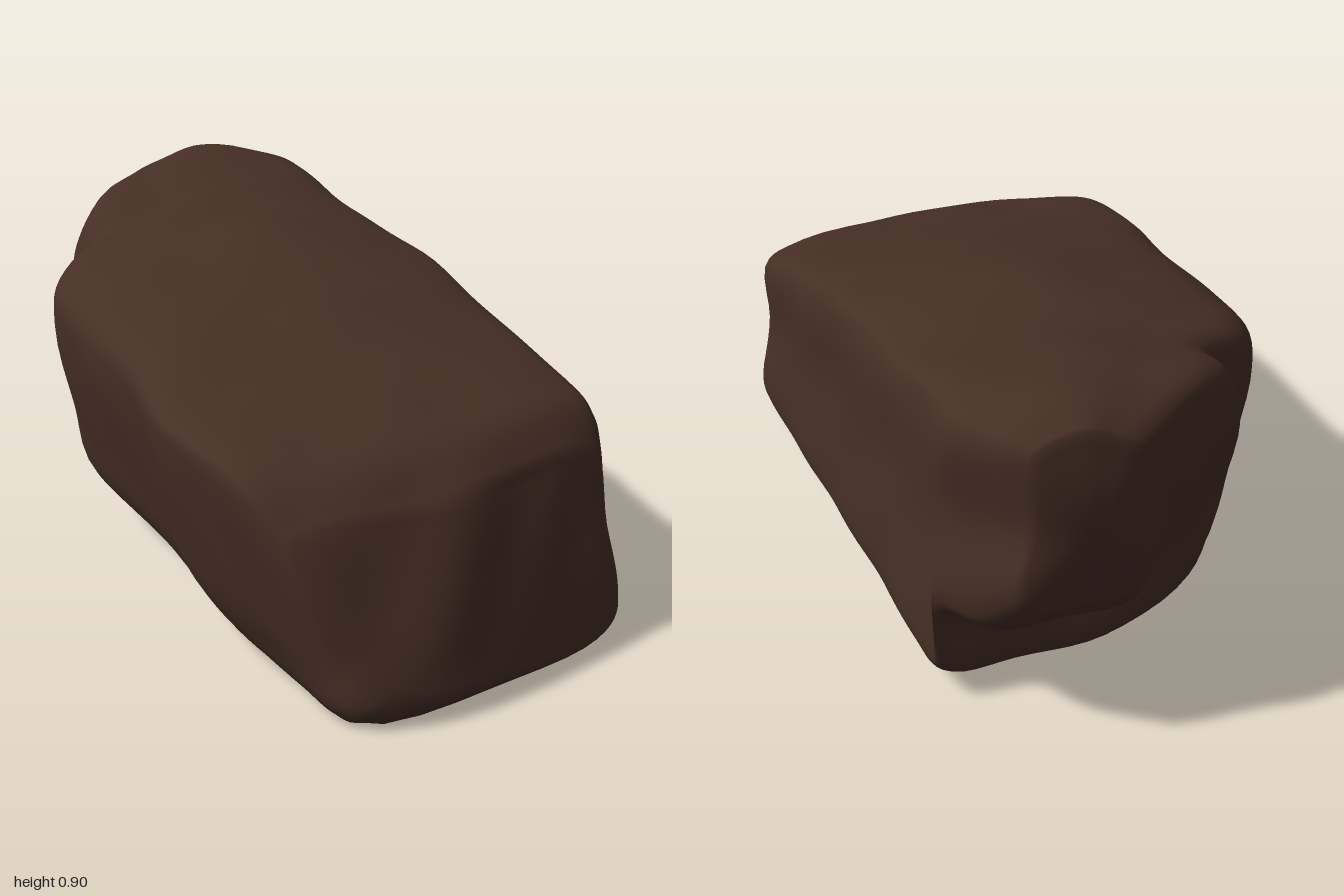
import * as THREE from 'three';

// Cross-sections from front to back:
// [zBottom, zTop, xLeftFoot, xLeft, yLeft, yLeftTop, yTop, yRightTop, xRight, yBottom]
const SECTIONS = [
  [1.005, 0.865, -0.29, -0.43, 0.41, 0.45, 0.48, 0.48, 0.475, 0.045],
  [0.96, 0.775, -0.325, -0.475, 0.49, 0.54, 0.56, 0.56, 0.51, 0.01],
  [0.80, 0.66, -0.335, -0.50, 0.52, 0.58, 0.60, 0.595, 0.525, 0.01],
  [0.45, 0.40, -0.32, -0.52, 0.53, 0.61, 0.67, 0.66, 0.52, 0.016],
  [0.15, 0.15, -0.28, -0.48, 0.54, 0.66, 0.75, 0.73, 0.515, 0.025],
  [-0.20, -0.20, -0.18, -0.47, 0.56, 0.71, 0.835, 0.79, 0.51, 0.03],
  [-0.42, -0.42, -0.09, -0.445, 0.58, 0.73, 0.83, 0.81, 0.505, 0.035],
  [-0.54, -0.50, -0.03, -0.38, 0.58, 0.74, 0.84, 0.825, 0.505, 0.035],
  [-0.63, -0.56, 0.02, -0.27, 0.58, 0.76, 0.855, 0.84, 0.505, 0.04],
  [-0.69, -0.69, 0.06, -0.262, 0.58, 0.78, 0.88, 0.86, 0.505, 0.08],
  [-0.705, -0.79, 0.06, -0.19, 0.58, 0.80, 0.895, 0.87, 0.50, 0.25],
  [-0.85, -0.90, 0.06, -0.03, 0.58, 0.81, 0.89, 0.86, 0.45, 0.30],
  [-0.95, -0.97, 0.13, 0.09, 0.60, 0.79, 0.865, 0.835, 0.385, 0.40],
];
const AROUND = 72, ALONG = 80, CAP = 10;
const mix = THREE.MathUtils.lerp;

// The front face falls back to both sides
const bow = (x, z) => 0.25 * (Math.hypot(x + 0.08, 0.08) - 0.08) * Math.max(0, z);

// One faceted outline: undercut, leaning left side, sloping top, upright right side
function outline([zB, zT, xF, xL, yL, yLT, yT, yRT, xR, yB]) {
  const w = xR - xL;
  const knee = Math.min(xF - 0.05, xL + 0.1);
  const points = [
    [xF, yB], [knee, yB + 0.11], [mix(knee, xL, 0.5), mix(yB, yL, 0.52)], [xL, yL],
    [xL + 0.005, mix(yL, yLT, 0.6)], [xL + 0.07 * w, yLT], [xL + 0.3 * w, mix(yLT, yT, 0.58)],
    [xL + 0.55 * w, yT], [xR - 0.11 * w, yRT], [xR - 0.025, yRT - 0.04],
    [xR - 0.025, mix(yB, yRT, 0.55)], [xR - 0.005, yB + 0.1], [xR - 0.02, yB + 0.035],
    [xR - 0.08, yB], [mix(xF, xR, 0.5), yB],
  ];
  return points.map(([x, y]) => {
    const z = mix(zB, zT, (y - yB) / (yT - yB));
    return new THREE.Vector3(x, y, z - bow(x, z));
  });
}

// Gentle dents and bumps, rougher at the back
function weather(p) {
  const { x, y, z } = p;
  const a = Math.sin(9 * x + 4 * z + 1) * Math.sin(8 * y - 5 * z) * Math.cos(7 * z + 3 * x);
  const b = Math.sin(19 * x - 11 * y) * Math.sin(17 * z + 8 * y + 2);
  const back = THREE.MathUtils.smoothstep(-z, 0.55, 0.9);
  const d = (0.004 + 0.006 * back) * a + (0.004 + 0.004 * back) * b;
  p.x += d * Math.sign(x) * Math.min(1, Math.abs(x) * 4);
  p.y = Math.max(0, y + d * 0.7);
  p.z += d * z;
  return p;
}

// Close an end with rings shrinking to its centre; depth sets z of each point
function cap(ring, depth) {
  const centre = ring.reduce((s, p) => s.add(p), new THREE.Vector3()).divideScalar(AROUND);
  return Array.from({ length: CAP }, (_, k) => {
    const t = (k + 1) / CAP;
    return ring.map((p) => {
      const q = p.clone().lerp(centre, t);
      q.z = depth(q, t);
      return q;
    });
  });
}

function rockGeometry() {
  const outlines = SECTIONS.map(outline);
  const rails = outlines[0].map((_, j) =>
    new THREE.CatmullRomCurve3(outlines.map((o) => o[j]), false, 'centripetal'));
  const rings = [];
  for (let i = 0; i <= ALONG; i++) {
    const loop = new THREE.CatmullRomCurve3(rails.map((r) => r.getPoint(i / ALONG)), true, 'centripetal');
    rings.push(Array.from({ length: AROUND }, (_, j) => loop.getPoint(j / AROUND)));
  }
  const front = cap(rings[0], ({ x, y }) => {
    const z = 1.02 - 0.2 * y - 0.26 * y * y;
    return z - bow(x, z);
  });
  const back = cap(rings[ALONG], (q, t) => q.z - 0.035 * Math.sin(t * Math.PI / 2));
  const all = [...front.reverse(), ...rings, ...back];

  // Skin between neighbouring rings
  const positions = [], index = [];
  all.forEach((ring) => ring.forEach((p) => positions.push(...weather(p.clone()).toArray())));
  for (let i = 0; i < all.length - 1; i++) {
    for (let j = 0; j < AROUND; j++) {
      const a = i * AROUND + j, b = i * AROUND + (j + 1) % AROUND;
      const c = a + AROUND, d = b + AROUND;
      if (i > 0) index.push(a, b, c);
      if (i < all.length - 2) index.push(b, d, c);
    }
  }
  const geometry = new THREE.BufferGeometry();
  geometry.setAttribute('position', new THREE.Float32BufferAttribute(positions, 3));
  geometry.setIndex(index);
  geometry.computeVertexNormals();
  return geometry;
}

export function createModel() {
  const group = new THREE.Group();
  group.name = 'rock';
  const brownStone = new THREE.MeshStandardMaterial({ color: 0x462f24 });
  brownStone.name = 'brownStone';
  const boulder = new THREE.Mesh(rockGeometry(), brownStone);
  boulder.name = 'boulder';
  group.add(boulder);
  return group;
}
